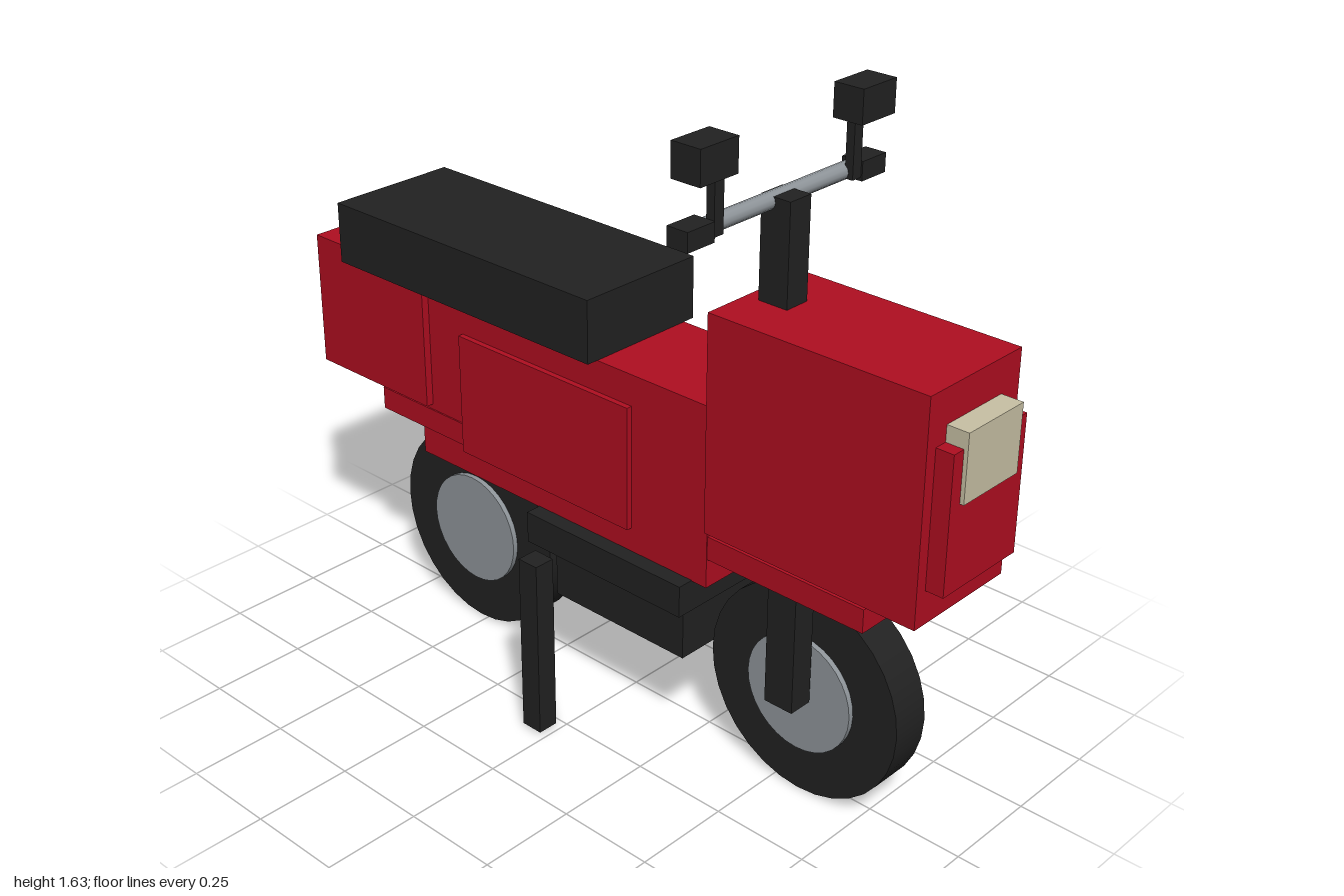
import * as THREE from 'three';

const mat = (name, color, flatShading = false) =>
  Object.assign(new THREE.MeshStandardMaterial({ color, flatShading }), { name });

export function createModel() {
  const red = mat('red paint', 0xb00e20);
  const black = mat('black', 0x222222);
  const grey = mat('grey metal', 0x8f959a);
  const cream = mat('lamp cream', 0xc9c1a5);
  const darkRed = mat('tail lamp red', 0xa20c1e);
  const model = new THREE.Group();
  model.name = 'motorbike';

  // Box given by its limits on each axis
  function box(name, m, [x0, x1], [y0, y1], [z0, z1], parent = model) {
    const mesh = new THREE.Mesh(new THREE.BoxGeometry(x1 - x0, y1 - y0, z1 - z0), m);
    mesh.name = name;
    mesh.position.set((x0 + x1) / 2, (y0 + y1) / 2, (z0 + z1) / 2);
    parent.add(mesh);
  }
  // Cylinder along x or z
  function rod(name, m, axis, r, length, pos, sides, parent = model) {
    const geo = new THREE.CylinderGeometry(r, r, length, sides);
    if (axis === 'x') geo.rotateZ(Math.PI / 2);
    else geo.rotateX(Math.PI / 2);
    const mesh = new THREE.Mesh(geo, m);
    mesh.name = name;
    mesh.position.set(...pos);
    parent.add(mesh);
  }
  const wide = (h) => [-h, h];

  // Bodywork
  box('frontFairing', red, wide(0.158), [0.655, 1.2], [0.36, 0.945]);
  box('frontPanel', red, wide(0.128), [0.74, 1.075], [0.94, 0.99]);
  box('headlight', cream, wide(0.095), [0.95, 1.115], [0.94, 1.0]);
  box('body', red, wide(0.148), [0.505, 0.97], [-0.61, 0.36]);
  box('sidePanels', red, wide(0.163), [0.57, 0.89], [-0.445, 0.125]);
  box('tail', red, wide(0.168), [0.655, 1.01], [-0.975, -0.57]);
  box('seat', black, wide(0.179), [0.97, 1.13], [-0.865, 0.017]);
  box('tailLight', darkRed, wide(0.08), [0.825, 0.97], [-0.99, -0.97]);
  box('rearPlate', black, wide(0.104), [0.655, 0.8], [-1.0, -0.97]);
  box('frontFender', red, wide(0.146), [0.58, 0.64], [0.345, 0.805]);
  box('rearFender', red, wide(0.152), [0.58, 0.64], [-0.29, -0.76].reverse());

  // Wheels
  for (const [name, z] of [['frontWheel', 0.574], ['rearWheel', -0.525]]) {
    const wheel = new THREE.Group();
    wheel.name = name;
    wheel.position.set(0, 0.275, z);
    rod('tyre', black, 'x', 0.273, 0.104, [0, 0, 0], 32, wheel);
    rod('hub', grey, 'x', 0.15, 0.132, [0, 0, 0], 32, wheel);
    model.add(wheel);
  }

  // Engine, exhaust and stand
  box('engineTop', black, wide(0.19), [0.425, 0.507], [-0.187, 0.316]);
  box('engineBlock', black, wide(0.134), [0.268, 0.43], [-0.145, 0.278]);
  rod('exhaust', grey, 'z', 0.046, 0.755, [0.22, 0.352, -0.107], 16);
  rod('exhaustJoint', black, 'z', 0.033, 0.105, [0.22, 0.379, 0.293], 16);
  box('stand', black, [-0.328, -0.273], [0.01, 0.482], [-0.073, -0.014]);

  // Steering
  box('steeringColumn', black, wide(0.034), [1.19, 1.447], [0.396, 0.476]);
  rod('handlebar', grey, 'x', 0.02, 0.5, [0, 1.434, 0.415], 12);
  for (const s of [-1, 1]) {
    const side = s > 0 ? 'left' : 'right';
    const span = (a, b) => (s > 0 ? [a, b] : [-b, -a]);
    box(side + 'Fork', black, span(0.074, 0.138), [0.275, 0.66], [0.535, 0.615]);
    box(side + 'Grip', black, span(0.243, 0.326), [1.411, 1.457], [0.393, 0.45]);
    box(side + 'MirrorStem', black, span(0.213, 0.242), [1.42, 1.56], [0.425, 0.447]);
    box(side + 'Mirror', black, span(0.202, 0.317), [1.555, 1.636], [0.394, 0.474]);
  }
  return model;
}
